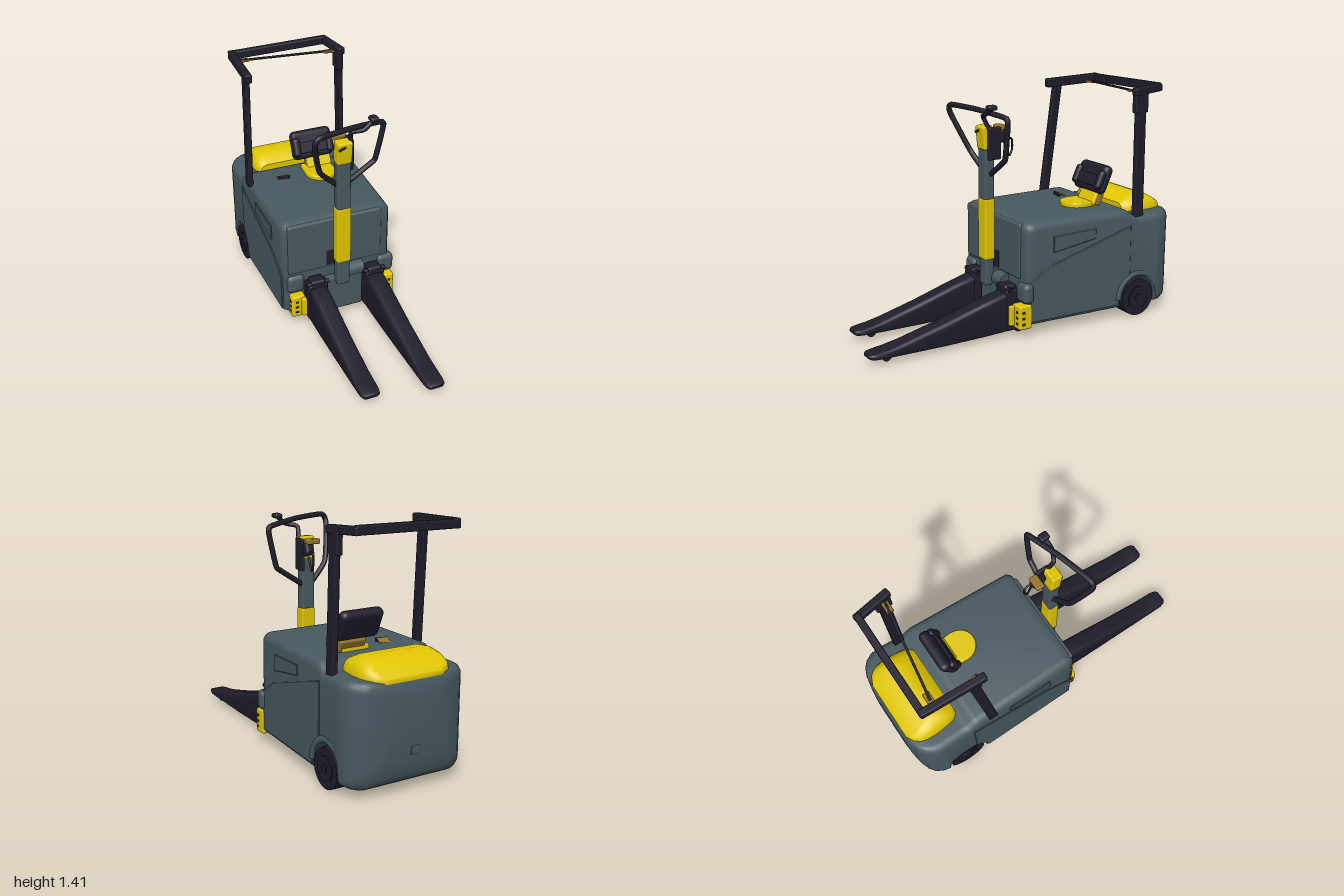
import * as THREE from 'three';
import { toCreasedNormals } from 'three/addons/utils/BufferGeometryUtils.js';
import { RoundedBoxGeometry } from 'three/addons/geometries/RoundedBoxGeometry.js';

const mat = (name, color) => Object.assign(new THREE.MeshStandardMaterial({ color }), { name });

export function createModel() {
  const root = new THREE.Group();
  root.name = 'forkTruck';
  const grey = mat('slate grey', 0x475960), dark = mat('charcoal', 0x1f1d2a);
  const yellow = mat('safety yellow', 0xe0c600), tan = mat('tan', 0x947428);

  const add = (name, geo, m, x = 0, y = 0, z = 0, parent = root) => {
    const mesh = new THREE.Mesh(geo, m);
    mesh.name = name;
    mesh.position.set(x, y, z);
    parent.add(mesh);
    return mesh;
  };
  const box = (name, m, w, h, d, x, y, z, r = 0.008) =>
    add(name, new RoundedBoxGeometry(w, h, d, 2, r), m, x, y, z);
  const cylX = (name, m, r, len, x, y, z, seg = 32) =>
    add(name, new THREE.CylinderGeometry(r, r, len, seg).rotateZ(Math.PI / 2), m, x, y, z);
  const tube = (name, m, pts, r, closed = false, seg = 64) =>
    add(name, new THREE.TubeGeometry(new THREE.CatmullRomCurve3(
      pts.map(p => new THREE.Vector3(...p)), closed, 'catmullrom', 0.3), seg, r, 10, closed), m);

  // Straight bar between two points
  const beam = (name, m, a, b, w, h) => {
    const A = new THREE.Vector3(...a), B = new THREE.Vector3(...b);
    const mesh = add(name, new RoundedBoxGeometry(w, h, A.distanceTo(B), 2, Math.min(w, h) * 0.2), m);
    mesh.position.copy(A).add(B).multiplyScalar(0.5);
    if (Math.abs(B.y - A.y) > 0.3) mesh.up.set(0, 0, 1);
    mesh.lookAt(B);
  };

  // Rounded-rectangle sections [z, centreX, halfWidth, bottom, top, topRadius, bottomRadius], front to back
  const loft = (stations, crease = 0.7) => {
    const pos = [], idx = [], n = 24;
    for (const [z, cx, hw, yb, yt, rt = 0.05, rb = 0.025] of stations) {
      const corners = [[1, 0, rb], [1, 1, rt], [-1, 1, rt], [-1, 0, rb]];
      corners.forEach(([sx, up, r], k) => {
        for (let i = 0; i < 6; i++) {
          const a = (k - 1 + i / 5) * Math.PI / 2;
          pos.push(cx + sx * (hw - r) + r * Math.cos(a),
            (up ? yt - r : yb + r) + r * Math.sin(a), z);
        }
      });
    }
    const last = stations.length - 1;
    for (let i = 0; i < last; i++) for (let j = 0; j < n; j++) {
      const a = i * n + j, b = i * n + (j + 1) % n;
      idx.push(a, a + n, b, b, a + n, b + n);
    }
    for (const s of [0, last]) {
      const [z, cx, , yb, yt] = stations[s], c = pos.length / 3;
      pos.push(cx, (yb + yt) / 2, z);
      for (let j = 0; j < n; j++) {
        const a = s * n + j, b = s * n + (j + 1) % n;
        idx.push(c, ...(s ? [b, a] : [a, b]));
      }
    }
    const g = new THREE.BufferGeometry();
    g.setAttribute('position', new THREE.Float32BufferAttribute(pos, 3));
    g.setIndex(idx);
    return toCreasedNormals(g, crease);
  };

  // Body shell: straight hood, wheel arches, rounded tail
  const arch = [];
  for (let i = 0; i <= 10; i++) {
    const a = Math.PI * i / 10, z = -0.71 + 0.128 * Math.cos(a);
    const t = (z + 0.575) / -0.27;
    arch.push([z, -0.008 + 0.01 * t, 0.364 + 0.008 * t, 0.125 + 0.132 * Math.sin(a),
      z > -0.62 ? 0.684 : z > -0.66 ? 0.67 : 0.64]);
  }
  add('bodyShell', loft([
    [0.072, -0.025, 0.31, 0.1, 0.65], [0.066, -0.025, 0.33, 0.085, 0.67],
    [0.045, -0.025, 0.344, 0.077, 0.682], [0.01, -0.025, 0.346, 0.076, 0.685],
    [-0.575, -0.008, 0.364, 0.075, 0.685], ...arch,
    [-0.845, 0.002, 0.372, 0.07, 0.64, 0.05, 0.04], [-0.89, 0.002, 0.364, 0.06, 0.64, 0.05, 0.06],
    [-0.93, 0.002, 0.342, 0.06, 0.64, 0.05, 0.07], [-0.96, 0.002, 0.31, 0.08, 0.635, 0.05, 0.08],
    [-0.98, 0.002, 0.265, 0.12, 0.625, 0.05, 0.08], [-0.993, 0.002, 0.2, 0.2, 0.59], [-1, 0.002, 0.15, 0.3, 0.54],
  ]), grey);
  box('underbody', grey, 0.5, 0.25, 0.32, 0, 0.2, -0.71);
  box('hoodFront', grey, 0.6, 0.33, 0.03, -0.04, 0.51, 0.066, 0.014);
  box('mastRecess', dark, 0.135, 0.1, 0.008, -0.032, 0.41, 0.079, 0.003);
  box('towSocket', grey, 0.05, 0.05, 0.012, 0, 0.25, -0.994, 0.004);
  // Small tilted display, dark at the front
  const display = box('hoodDisplay', tan, 0.075, 0.008, 0.045, -0.155, 0.692, -0.485, 0.003);
  display.rotation.set(-0.5, -0.15, 0);
  box('displayBase', dark, 0.075, 0.02, 0.012, -0.155, 0.694, -0.462, 0.003).rotation.y = -0.15;

  // Thin plates lying on the tapering flanks, outlined as [z, y]
  const sidePlate = (name, pts, s) => {
    const g = new THREE.ExtrudeGeometry(new THREE.Shape(pts.map(p => new THREE.Vector2(...p))),
      { depth: 0.012, bevelEnabled: true, bevelSize: 0.004, bevelThickness: 0.003, bevelSegments: 1 });
    const p = g.attributes.position;
    for (let i = 0; i < p.count; i++) {
      const z = p.getX(i), t = (0.01 - z) / 0.585;
      const x = -0.025 + 0.017 * t + s * (0.346 + 0.018 * t - 0.009 + p.getZ(i));
      p.setXYZ(i, x, p.getY(i), z);
    }
    if (s > 0) for (let i = 0; i < p.count; i += 3) {
      const b = [p.getX(i), p.getY(i), p.getZ(i)];
      p.setXYZ(i, p.getX(i + 1), p.getY(i + 1), p.getZ(i + 1));
      p.setXYZ(i + 1, ...b);
    }
    g.computeVertexNormals();
    add(name, g, grey);
  };
  for (const s of [-1, 1]) {
    sidePlate('sidePanel', [[-0.11, 0.5], [-0.11, 0.59], [-0.39, 0.6], [-0.39, 0.545]], s);
    sidePlate('lowerFlank', [[0.045, 0.1], [0.045, 0.33], [-0.1, 0.42], [-0.64, 0.58], [-0.64, 0.27],
      [-0.585, 0.2], [-0.56, 0.1]], s);
    // Wheel arch flare
    const flare = add('archFlare', new THREE.TorusGeometry(0.146, 0.02, 8, 24, Math.PI), grey, s * 0.36, 0.13, -0.71);
    flare.rotation.y = Math.PI / 2;
    flare.scale.z = 0.6;
    // Drive wheels
    cylX('wheelTyre', dark, 0.115, 0.1, s * 0.315, 0.122, -0.71);
    cylX('wheelRim', dark, 0.07, 0.012, s * 0.366, 0.122, -0.71);
    cylX('wheelHub', dark, 0.025, 0.02, s * 0.368, 0.122, -0.71, 16);
  }

  // Rear hump
  add('rearCover', loft([
    [-0.672, 0, 0.23, 0.6, 0.685, 0.04], [-0.7, 0, 0.255, 0.6, 0.705, 0.06], [-0.75, 0, 0.265, 0.6, 0.73, 0.09],
    [-0.82, 0, 0.272, 0.6, 0.737, 0.1], [-0.88, 0, 0.27, 0.6, 0.718, 0.08],
    [-0.925, 0, 0.258, 0.6, 0.69, 0.05], [-0.958, 0, 0.232, 0.6, 0.668, 0.03], [-0.982, 0, 0.18, 0.6, 0.645, 0.015],
  ]), yellow);

  // Seat
  const seatShape = new THREE.Shape();
  seatShape.moveTo(-0.08, 0.55).lineTo(-0.088, 0.44)
    .bezierCurveTo(-0.08, 0.32, 0.08, 0.32, 0.088, 0.44).lineTo(0.08, 0.55);
  add('seatCushion', new THREE.ExtrudeGeometry(seatShape, {
    depth: 0.025, bevelSize: 0.008, bevelThickness: 0.008, bevelSegments: 3,
  }).rotateX(-Math.PI / 2), yellow, 0.08, 0.678, 0);
  box('seatSupport', yellow, 0.16, 0.08, 0.03, 0.1, 0.725, -0.515, 0.012).rotation.x = -0.45;
  box('seatBracket', tan, 0.165, 0.08, 0.045, 0.1, 0.72, -0.54, 0.012).rotation.x = -0.45;
  const back = box('seatBack', dark, 0.27, 0.18, 0.068, 0.072, 0.835, -0.572, 0.032);
  back.rotation.x = -0.42;
  add('backPad', new RoundedBoxGeometry(0.19, 0.07, 0.02, 2, 0.009), dark, 0, -0.02, 0.034, back);
  for (const s of [-1, 1])
    add('backWing', new RoundedBoxGeometry(0.05, 0.12, 0.05, 3, 0.022), dark, s * 0.11, -0.01, 0.03, back);

  // Overhead guard
  beam('guardPostLeft', dark, [0.33, 0.62, -0.712], [0.318, 1.38, -0.718], 0.034, 0.066);
  beam('guardPostRight', dark, [-0.367, 0.66, -0.507], [-0.335, 1.37, -0.58], 0.034, 0.058);
  box('guardGusset', dark, 0.038, 0.12, 0.095, 0.318, 1.31, -0.718);
  beam('guardArmLeft', dark, [0.325, 1.375, -0.665], [0.285, 1.385, -0.89], 0.045, 0.045);
  beam('guardArmRight', dark, [-0.34, 1.365, -0.5], [-0.325, 1.38, -0.885], 0.042, 0.055);
  beam('guardCrossbar', dark, [-0.34, 1.378, -0.87], [0.3, 1.388, -0.87], 0.04, 0.05);
  beam('guardStrut', dark, [-0.29, 1.365, -0.8], [0.29, 1.372, -0.71], 0.014, 0.012);
  box('strutBracket', tan, 0.07, 0.012, 0.04, -0.275, 1.362, -0.8, 0.003);
  box('strutBracket', tan, 0.07, 0.012, 0.04, 0.255, 1.37, -0.715, 0.003);

  // Mast
  const mx = -0.02, mz = 0.132;
  box('mastFoot', grey, 0.08, 0.18, 0.06, mx, 0.34, mz, 0.015);
  box('mastLower', yellow, 0.09, 0.37, 0.068, mx, 0.595, mz, 0.012);
  box('mastUpper', grey, 0.084, 0.31, 0.064, mx, 0.925, mz, 0.012);
  box('mastHead', yellow, 0.092, 0.138, 0.068, mx, 1.138, 0.14, 0.012).rotation.x = 0.1;
  box('headLatch', dark, 0.045, 0.014, 0.008, -0.04, 1.172, 0.179, 0.003).rotation.z = 0.35;
  box('headSideCover', dark, 0.02, 0.19, 0.085, 0.034, 1.105, 0.108, 0.009);
  box('mastBlock', grey, 0.23, 0.23, 0.06, 0.005, 0.165, 0.09);
  cylX('mastPivot', grey, 0.045, 0.1, 0.08, 0.3, 0.085, 20);

  // Tiller head and loop handle
  tube('handleLoop', dark, [
    [-0.04, 0.915, 0.12], [-0.165, 1.04, 0.155], [-0.225, 1.23, 0.235], [-0.23, 1.28, 0.255], [-0.2, 1.31, 0.255],
    [0, 1.305, 0.205], [0.2, 1.28, 0.145], [0.225, 1.25, 0.138], [0.185, 1.05, 0.128], [0.16, 1.02, 0.125],
    [0.0, 0.915, 0.12],
  ], 0.016, false, 120);
  box('tillerHousing', dark, 0.055, 0.08, 0.08, 0.012, 1.14, 0.065, 0.02).rotation.x = 0.3;
  box('tillerSwitch', tan, 0.085, 0.03, 0.05, -0.01, 1.187, 0.042);
  tube('controlLever', dark, [[0.03, 1.17, 0.13], [0.015, 1.26, 0.17], [0.08, 1.28, 0.2], [0.15, 1.335, 0.19]], 0.013);
  box('leverKnob', dark, 0.05, 0.03, 0.06, 0.14, 1.33, 0.19, 0.014);
  tube('tillerHook', dark, [[0.02, 1.13, 0.045], [0.02, 1.12, -0.015], [0.02, 1.06, -0.02],
    [0.02, 1.02, 0], [0.02, 1.07, 0.02]], 0.006, true);

  // Forks with load rollers, heads, yellow side plates and corner fenders
  for (const [s, x0, x1, tip] of [[1, 0.188, 0.172, 1], [-1, -0.18, -0.188, 0.93]]) {
    const section = ([f, hw, yb, yt, rt, rb]) =>
      [0.1 + f * (tip - 0.1), x0 + f * (x1 - x0), hw, yb, yt, rt, rb];
    add('fork', loft([
      [1, 0.035, 0.05, 0.066, 0.007, 0.007], [0.985, 0.05, 0.044, 0.072, 0.012, 0.01],
      [0.95, 0.057, 0.042, 0.075, 0.014, 0.01], [0.87, 0.058, 0.04, 0.085, 0.018, 0.01],
      [0.77, 0.057, 0.038, 0.105, 0.025, 0.01], [0.5, 0.057, 0.034, 0.165, 0.028, 0.01],
      [0.22, 0.058, 0.036, 0.235, 0.028, 0.01], [0.07, 0.058, 0.04, 0.27, 0.028, 0.01], [0, 0.058, 0.045, 0.27, 0.028, 0.01],
    ].map(section)), dark);
    cylX('loadRoller', dark, 0.026, 0.05, x1, 0.036, tip - 0.11, 16);
    cylX('tipRoller', dark, 0.018, 0.07, x1, 0.056, tip - 0.04, 16);
    box('forkHead', dark, 0.125, 0.25, 0.09, x0, 0.165, 0.115, 0.015);
    box('forkBracket', dark, 0.09, 0.06, 0.08, x0, 0.285, 0.12, 0.015);
    cylX('forkPin', dark, 0.014, 0.14, x0, 0.29, 0.14, 16);
    box('forkFoot', dark, 0.08, 0.04, 0.03, x0, 0.035, 0.06);
    const px = s > 0 ? 0.29 : -0.295;
    box('sidePlate', yellow, 0.085, 0.145, 0.085, px, 0.138, 0.08, 0.012);
    box('plateLug', yellow, 0.03, 0.12, 0.06, px - s * 0.03, 0.14, 0.12);
    box('cornerFender', grey, 0.11, 0.12, 0.07, px, 0.275, 0.06, 0.03);
    for (let i = 0; i < 3; i++) {
      box('plateSlot', dark, 0.02, 0.014, 0.006, px + s * 0.01, 0.1 + i * 0.035, 0.121, 0.002);
      box('plateSlot', dark, 0.006, 0.014, 0.02, px + s * 0.042, 0.1 + i * 0.035, 0.095, 0.002);
    }
  }
  return root;
}
